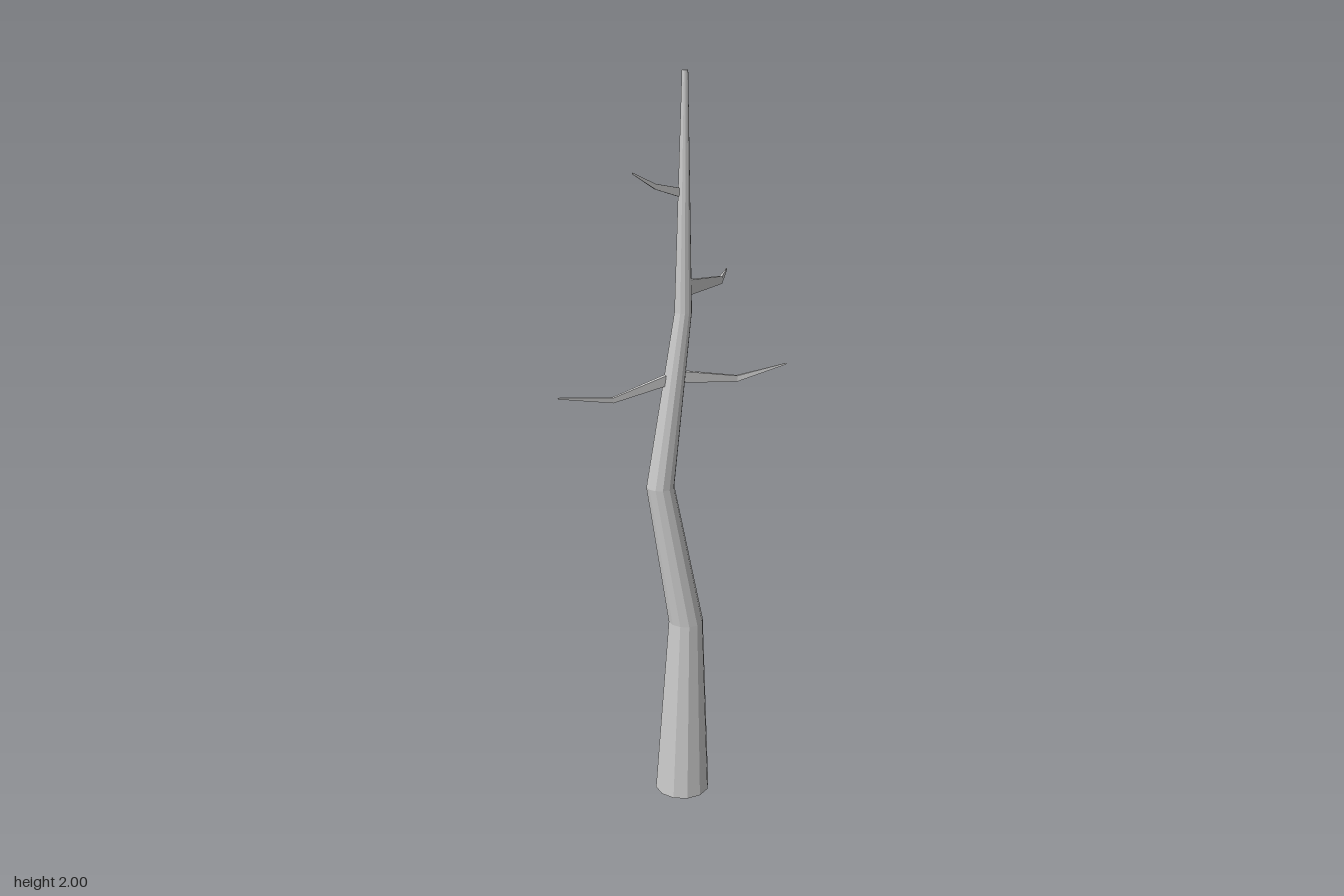
import * as THREE from 'three';

const material = new THREE.MeshStandardMaterial({ color: 0xcccccc, flatShading: true });

// Skins a list of rings (arrays of Vector3, counter-clockwise seen from the tip) and caps both ends.
function loft(name, rings) {
  const n = rings[0].length;
  const pos = [];
  const tri = (...pts) => pts.forEach((p) => pos.push(p.x, p.y, p.z));
  for (let i = 0; i < rings.length - 1; i++) {
    for (let j = 0; j < n; j++) {
      const k = (j + 1) % n;
      const a = rings[i][j], b = rings[i][k], c = rings[i + 1][k], d = rings[i + 1][j];
      tri(a, b, c);
      tri(a, c, d);
    }
  }
  const first = rings[0], last = rings[rings.length - 1];
  for (let j = 1; j < n - 1; j++) {
    tri(first[0], first[j + 1], first[j]);
    tri(last[0], last[j], last[j + 1]);
  }
  const geometry = new THREE.BufferGeometry();
  geometry.setAttribute('position', new THREE.Float32BufferAttribute(pos, 3));
  geometry.computeVertexNormals();
  const mesh = new THREE.Mesh(geometry, material);
  mesh.name = name;
  return mesh;
}

// Level twelve-sided ring for the trunk
function trunkRing([x, y, z, r]) {
  return Array.from({ length: 12 }, (_, j) => {
    const a = (j / 12) * Math.PI * 2;
    return new THREE.Vector3(x + r * Math.cos(a), y, z - r * Math.sin(a));
  });
}

// Branch of upright rectangular sections; each point is [x, y, z, half width, half height]
function branch(name, points) {
  const at = (i) => new THREE.Vector3(...points[i].slice(0, 3));
  const up = new THREE.Vector3(0, 1, 0);
  const rings = points.map(([, , , w, h], i) => {
    const dir = at(Math.min(i + 1, points.length - 1)).sub(at(Math.max(i - 1, 0)));
    const side = dir.cross(up).normalize();
    return [[-1, -1], [-1, 1], [1, 1], [1, -1]].map(([s, t]) =>
      at(i).addScaledVector(side, s * w).addScaledVector(up, t * h));
  });
  return loft(name, rings);
}

export function createModel() {
  const tree = new THREE.Group();
  tree.name = 'bareTree';

  // Crooked tapering trunk
  tree.add(loft('trunk', [
    [0.029, 0, 0.036, 0.077],
    [0.037, 0.527, 0.04, 0.048],
    [-0.034, 0.927, 0.04, 0.038],
    [0.027, 1.4, 0.038, 0.023],
    [0.03, 2, 0.036, 0.008],
  ].map(trunkRing)));

  // Bent twigs, lowest first
  tree.add(branch('lowerRightBranch', [
    [0.005, 1.228, 0.037, 0.007, 0.015],
    [-0.165, 1.187, 0.081, 0.004, 0.007],
    [-0.31, 1.211, 0.12, 0.001, 0.002],
  ]));
  tree.add(branch('lowerLeftBranch', [
    [0.012, 1.228, 0.032, 0.008, 0.016],
    [0.181, 1.205, 0.002, 0.004, 0.008],
    [0.309, 1.245, 0.024, 0.001, 0.002],
  ]));
  tree.add(branch('middleBackBranch', [
    [0.03, 1.461, 0.034, 0.007, 0.021],
    [0.148, 1.459, -0.06, 0.004, 0.01],
    [0.177, 1.474, -0.121, 0.001, 0.003],
  ]));
  tree.add(branch('upperRightBranch', [
    [0.027, 1.702, 0.034, 0.005, 0.012],
    [-0.05, 1.725, 0.067, 0.003, 0.007],
    [-0.111, 1.762, 0.095, 0.001, 0.002],
  ]));
  return tree;
}
